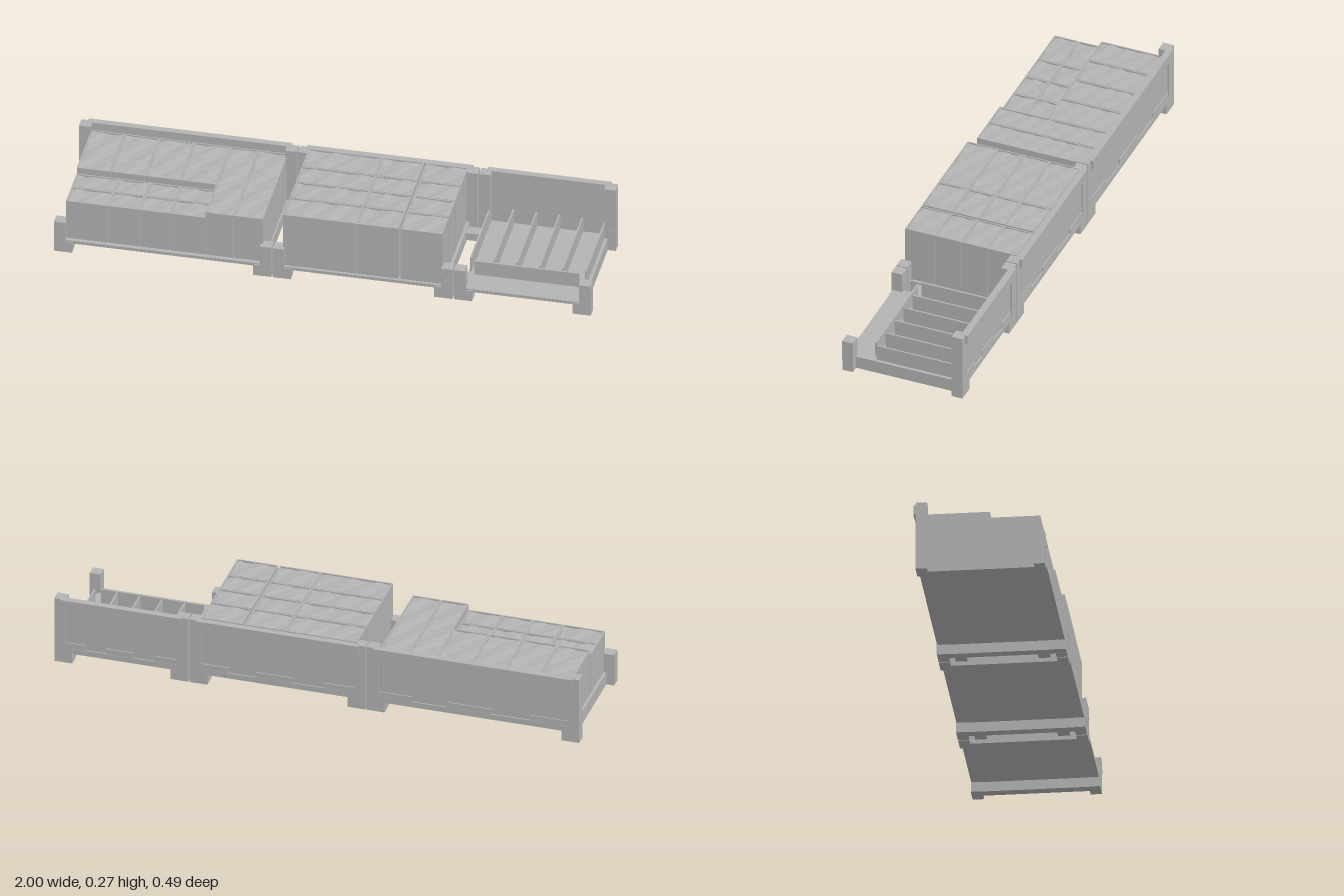
import * as THREE from 'three';

const grey = new THREE.MeshStandardMaterial({ color: 0xb4b4b4 });
grey.name = 'grey';

// Box given by its extents
function box(parent, name, x0, x1, y0, y1, z0, z1) {
  const m = new THREE.Mesh(new THREE.BoxGeometry(x1 - x0, y1 - y0, z1 - z0), grey);
  m.position.set((x0 + x1) / 2, (y0 + y1) / 2, (z0 + z1) / 2);
  m.name = name;
  parent.add(m);
  return m;
}

// Gentle lumpy height for the loose fill
function lump(x, z) {
  return 0.0012 * (Math.sin(x * 71 + z * 37) + Math.sin(z * 93 - x * 41 + 1.3) + Math.sin(x * 130 + 2) * Math.sin(z * 118));
}

// Storage bin: solid body, raised rim and bumpy fill
function bin(parent, x0, x1, z0, z1, top) {
  const g = new THREE.Group();
  g.name = 'bin';
  const rim = 0.005, floor = top - 0.009;
  box(g, 'binBody', x0, x1, 0.05, floor, z0, z1);
  box(g, 'binRim', x0, x0 + rim, floor, top, z0, z1);
  box(g, 'binRim', x1 - rim, x1, floor, top, z0, z1);
  box(g, 'binRim', x0 + rim, x1 - rim, floor, top, z0, z0 + rim);
  box(g, 'binRim', x0 + rim, x1 - rim, floor, top, z1 - rim, z1);
  const w = x1 - x0 - 2 * rim, d = z1 - z0 - 2 * rim;
  const geo = new THREE.PlaneGeometry(w, d, Math.ceil(w / 0.012), Math.ceil(d / 0.012));
  geo.rotateX(-Math.PI / 2);
  geo.translate((x0 + x1) / 2, top - 0.005, (z0 + z1) / 2);
  const p = geo.attributes.position;
  for (let i = 0; i < p.count; i++) p.setY(i, p.getY(i) + lump(p.getX(i), p.getZ(i)));
  geo.computeVertexNormals();
  const fill = new THREE.Mesh(geo, grey);
  fill.name = 'binFill';
  g.add(fill);
  parent.add(g);
}

// Grid of bins between lists of x and z boundaries
function binGrid(parent, xs, zs, top) {
  for (let i = 0; i + 1 < xs.length; i++)
    for (let j = 0; j + 1 < zs.length; j++)
      bin(parent, xs[i] + 0.001, xs[i + 1] - 0.001, zs[j] + 0.001, zs[j + 1] - 0.001, top);
}

// Pallet with feet, corner posts and a panelled back
function pallet(name, x0, x1) {
  const g = new THREE.Group();
  g.name = name;
  box(g, 'floor', x0 + 0.03, x1 - 0.03, 0.038, 0.05, -0.22, 0.235);
  for (const s of [1, -1]) {
    const e = s > 0 ? x0 : x1;
    const part = (n, a, b, y0, y1, z0, z1) =>
      box(g, n, Math.min(e + s * a, e + s * b), Math.max(e + s * a, e + s * b), y0, y1, z0, z1);
    part('endRail', 0.03, 0.066, 0, 0.05, -0.195, 0.2);
    part('frontFoot', 0, 0.068, 0, 0.045, 0.198, 0.239);
    part('frontPost', 0, 0.043, 0.045, 0.128, 0.198, 0.24);
    part('backFoot', 0, 0.068, 0, 0.045, -0.234, -0.192);
    part('backPost', 0, 0.043, 0.045, 0.265, -0.234, -0.192);
    part('frontStud', 0.016, 0.024, 0.074, 0.086, 0.24, 0.243);
    part('backStud', 0.016, 0.024, 0.074, 0.086, -0.192, -0.188);
  }
  // Back wall with top rail and a staggered kick board
  box(g, 'backPanel', x0 + 0.04, x1 - 0.04, 0.04, 0.262, -0.228, -0.219);
  box(g, 'topRail', x0 + 0.025, x1 - 0.025, 0.229, 0.266, -0.244, -0.219);
  const a = x0 + 0.043, w = x1 - x0 - 0.086;
  box(g, 'kickBoard', a, a + w, 0.04, 0.062, -0.233, -0.228);
  for (const [u, v] of [[0, 0.2], [0.4, 0.64], [0.82, 1]])
    box(g, 'kickBlock', a + w * u, a + w * v, 0.062, 0.083, -0.232, -0.228);
  return g;
}

export function createModel() {
  const model = new THREE.Group();
  model.name = 'storagePallets';

  // Right-hand pallet: long bins, with smaller low bins in the front corner
  const mixed = pallet('mixedPallet', -1, -0.19);
  binGrid(mixed, [-0.96, -0.835, -0.705, -0.575, -0.44], [-0.219, 0.035], 0.235);
  binGrid(mixed, [-0.44, -0.335, -0.225], [-0.219, 0.22], 0.235);
  binGrid(mixed, [-0.96, -0.8, -0.685, -0.57, -0.44], [0.035, 0.125, 0.22], 0.211);
  model.add(mixed);

  // Middle pallet: tall regular bins
  const tall = pallet('tallPallet', -0.185, 0.485);
  binGrid(tall, [-0.15, 0.125, 0.282], [-0.219, -0.1, 0.002, 0.106, 0.225], 0.269);
  binGrid(tall, [0.288, 0.445], [-0.219, -0.1, 0.002, 0.106, 0.225], 0.269);
  model.add(tall);

  // Left-hand pallet: upright dividers behind a low board
  const rack = pallet('rackPallet', 0.49, 1);
  for (let i = 0; i < 6; i++) {
    const x = 0.528 + i * 0.0855;
    box(rack, 'divider', x - 0.003, x + 0.003, 0.05, 0.111, -0.219, 0.122);
  }
  box(rack, 'frontBoard', 0.545, 0.935, 0.05, 0.108, 0.131, 0.138);
  model.add(rack);

  // Couplings between neighbouring pallets
  for (const x of [-0.1875, 0.4875])
    for (const z of [-0.152, 0.152])
      box(model, 'coupling', x - 0.035, x + 0.025, 0.012, 0.042, z - 0.022, z + 0.022);

  return model;
}
